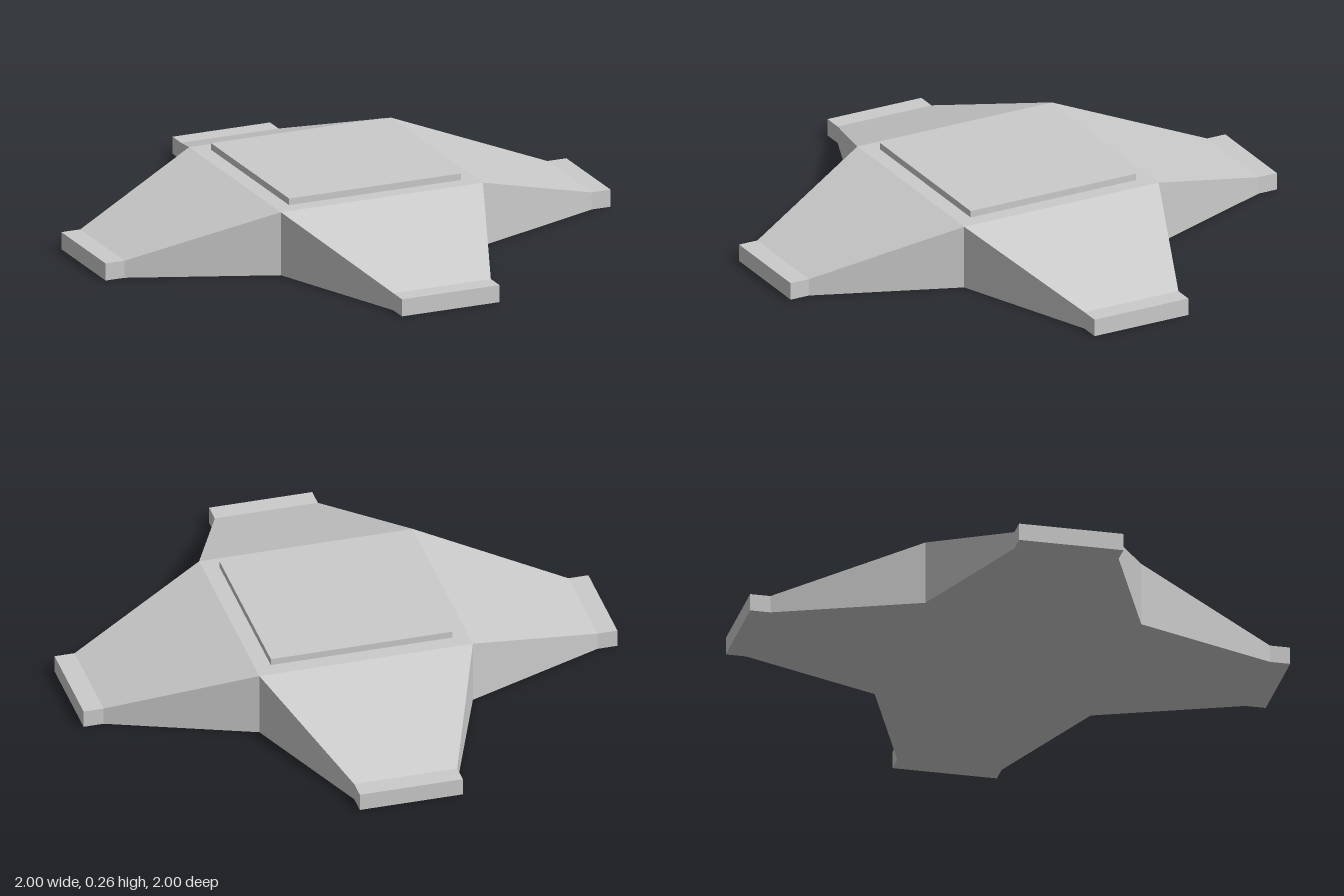
import * as THREE from 'three';

const HUB = 0.4; // half width of the hub
const HUB_TOP = 0.24;

// Arm along +z, lofted through rectangular sections [z, half width, height]
function armGeometry() {
  const sections = [[HUB, HUB, HUB_TOP], [0.925, 0.193, 0.065], [1, 0.193, 0.065]];
  const rings = sections.map(([z, w, h]) => [[-w, 0, z], [w, 0, z], [w, h, z], [-w, h, z]]);
  const positions = [];
  const quad = (a, b, c, d) => positions.push(...a, ...b, ...c, ...a, ...c, ...d);
  for (let i = 0; i < rings.length - 1; i++) {
    for (let k = 0; k < 4; k++) {
      const n = (k + 1) % 4;
      quad(rings[i][k], rings[i][n], rings[i + 1][n], rings[i + 1][k]);
    }
  }
  quad(...rings[rings.length - 1]); // outer end
  const geometry = new THREE.BufferGeometry();
  geometry.setAttribute('position', new THREE.Float32BufferAttribute(positions, 3));
  geometry.computeVertexNormals();
  return geometry;
}

export function createModel() {
  const model = new THREE.Group();
  model.name = 'crossShapedBase';
  const material = new THREE.MeshStandardMaterial({ color: 0xcccccc, flatShading: true });
  const add = (name, geometry) => {
    const mesh = new THREE.Mesh(geometry, material);
    mesh.name = name;
    model.add(mesh);
    return mesh;
  };

  // Hub: its sides are covered by the arms
  const square = new THREE.PlaneGeometry(2 * HUB, 2 * HUB);
  const hubTop = add('hubTop', square);
  hubTop.rotation.x = -Math.PI / 2;
  hubTop.position.y = HUB_TOP;
  add('hubUnderside', square).rotation.x = Math.PI / 2;

  // Raised plate on the hub
  add('topPlate', new THREE.BoxGeometry(0.68, 0.025, 0.68)).position.y = HUB_TOP + 0.0125;

  // Four sloping arms with flat toes
  const arm = armGeometry();
  ['frontArm', 'leftArm', 'backArm', 'rightArm'].forEach((name, i) => {
    add(name, arm).rotation.y = i * Math.PI / 2;
  });

  return model;
}
